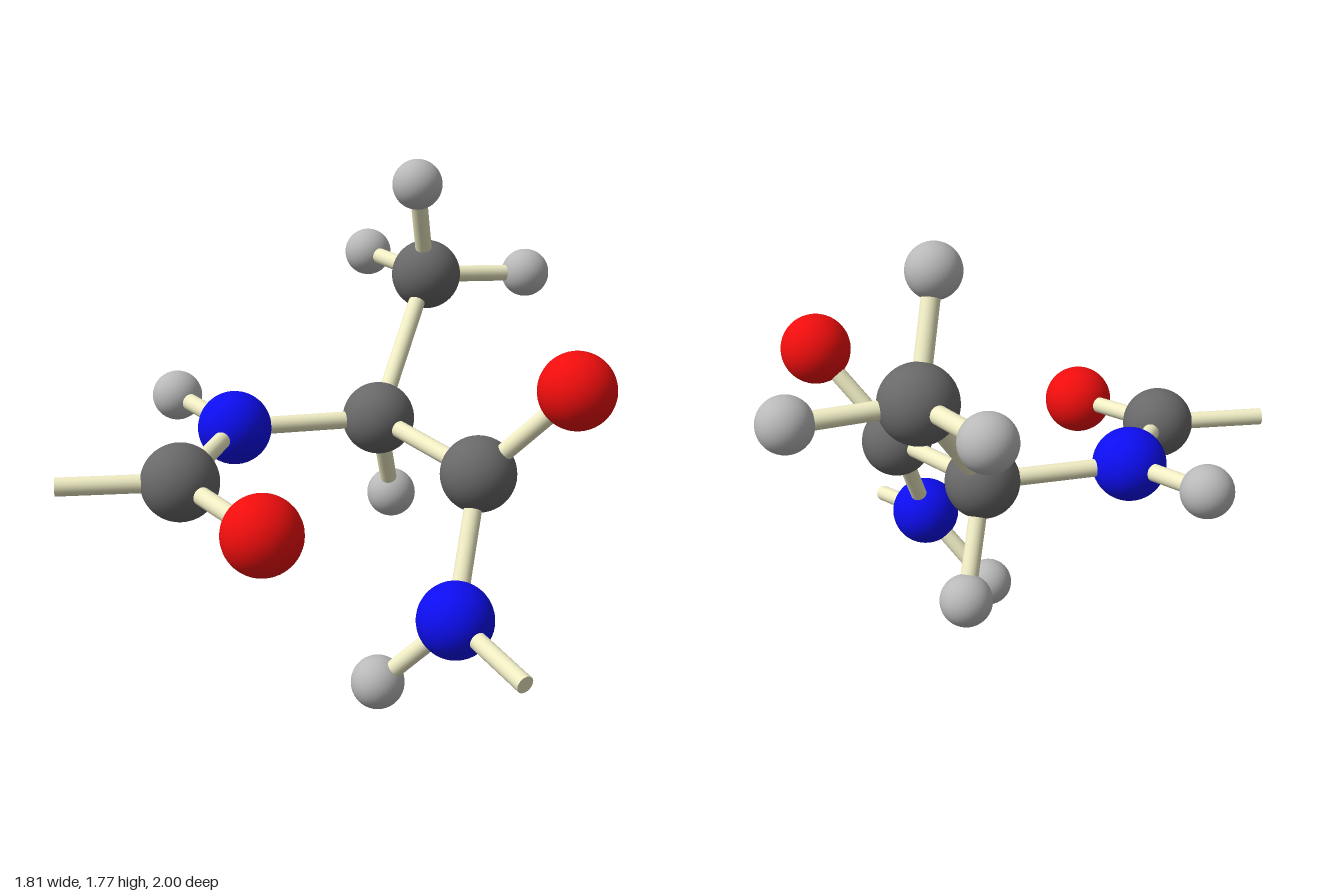
import * as THREE from 'three';

const BOND_RADIUS = 0.031;

const ELEMENTS = {
  carbon: { radius: 0.131, color: 0x696969 },
  nitrogen: { radius: 0.131, color: 0x0d0df0 },
  oxygen: { radius: 0.131, color: 0xf00d0d },
  hydrogen: { radius: 0.092, color: 0xb9b9b9 },
};

// Atom name: element and centre
const ATOMS = {
  alphaCarbon: ['carbon', -0.077, 0.857, -0.162],
  methylCarbon: ['carbon', -0.107, 1.32, -0.605],
  carbonylCarbonRight: ['carbon', -0.355, 0.808, 0.695],
  carbonylCarbonLeft: ['carbon', 0.442, 0.788, 0.09],
  nitrogenRight: ['nitrogen', -0.461, 0.86, 0.209],
  nitrogenLeft: ['nitrogen', 0.487, 0.362, 0.353],
  oxygenRight: ['oxygen', 0.071, 0.75, 0.867],
  oxygenLeft: ['oxygen', 0.77, 1.108, 0.052],
  alphaHydrogen: ['hydrogen', -0.133, 0.503, -0.37],
  methylHydrogenTop: ['hydrogen', -0.05, 1.685, -0.413],
  methylHydrogenRight: ['hydrogen', -0.47, 1.353, -0.805],
  methylHydrogenLeft: ['hydrogen', 0.177, 1.304, -0.908],
  amideHydrogenRight: ['hydrogen', -0.814, 0.904, 0.062],
  amideHydrogenLeft: ['hydrogen', 0.214, 0.094, 0.385],
};

const BONDS = [
  ['alphaCarbon', 'methylCarbon'],
  ['alphaCarbon', 'nitrogenRight'],
  ['alphaCarbon', 'carbonylCarbonLeft'],
  ['alphaCarbon', 'alphaHydrogen'],
  ['methylCarbon', 'methylHydrogenTop'],
  ['methylCarbon', 'methylHydrogenRight'],
  ['methylCarbon', 'methylHydrogenLeft'],
  ['nitrogenRight', 'amideHydrogenRight'],
  ['nitrogenRight', 'carbonylCarbonRight'],
  ['carbonylCarbonRight', 'oxygenRight'],
  ['carbonylCarbonLeft', 'oxygenLeft'],
  ['carbonylCarbonLeft', 'nitrogenLeft'],
  ['nitrogenLeft', 'amideHydrogenLeft'],
];

// Open bonds that end in free space
const STUBS = [
  ['carbonylCarbonRight', [-0.677, 0.811, 0.938]],
  ['nitrogenLeft', [0.813, 0.279, 0.532]],
];

const centre = (name) => new THREE.Vector3(...ATOMS[name].slice(1));

// Capped rod running from point a to point b
function makeRod(a, b, material) {
  const axis = b.clone().sub(a);
  const geometry = new THREE.CylinderGeometry(BOND_RADIUS, BOND_RADIUS, axis.length(), 24);
  const rod = new THREE.Mesh(geometry, material);
  rod.position.copy(a).lerp(b, 0.5);
  rod.quaternion.setFromUnitVectors(new THREE.Vector3(0, 1, 0), axis.normalize());
  return rod;
}

export function createModel() {
  const model = new THREE.Group();
  model.name = 'ballAndStickMolecule';
  const atoms = new THREE.Group();
  atoms.name = 'atoms';
  const bonds = new THREE.Group();
  bonds.name = 'bonds';
  model.add(atoms, bonds);

  // One shared sphere and material per element
  const kit = {};
  for (const [element, { radius, color }] of Object.entries(ELEMENTS)) {
    kit[element] = {
      geometry: new THREE.SphereGeometry(radius, 40, 28),
      material: new THREE.MeshStandardMaterial({ color }),
    };
  }

  // Atoms
  for (const [name, [element]] of Object.entries(ATOMS)) {
    const ball = new THREE.Mesh(kit[element].geometry, kit[element].material);
    ball.name = name;
    ball.position.copy(centre(name));
    atoms.add(ball);
  }

  // Bonds between atoms, then the open ones
  const cream = new THREE.MeshStandardMaterial({ color: 0xf0edc4 });
  for (const [from, to] of BONDS) {
    const rod = makeRod(centre(from), centre(to), cream);
    rod.name = `bond ${from} to ${to}`;
    bonds.add(rod);
  }
  for (const [from, end] of STUBS) {
    const rod = makeRod(centre(from), new THREE.Vector3(...end), cream);
    rod.name = `open bond from ${from}`;
    bonds.add(rod);
  }

  return model;
}
